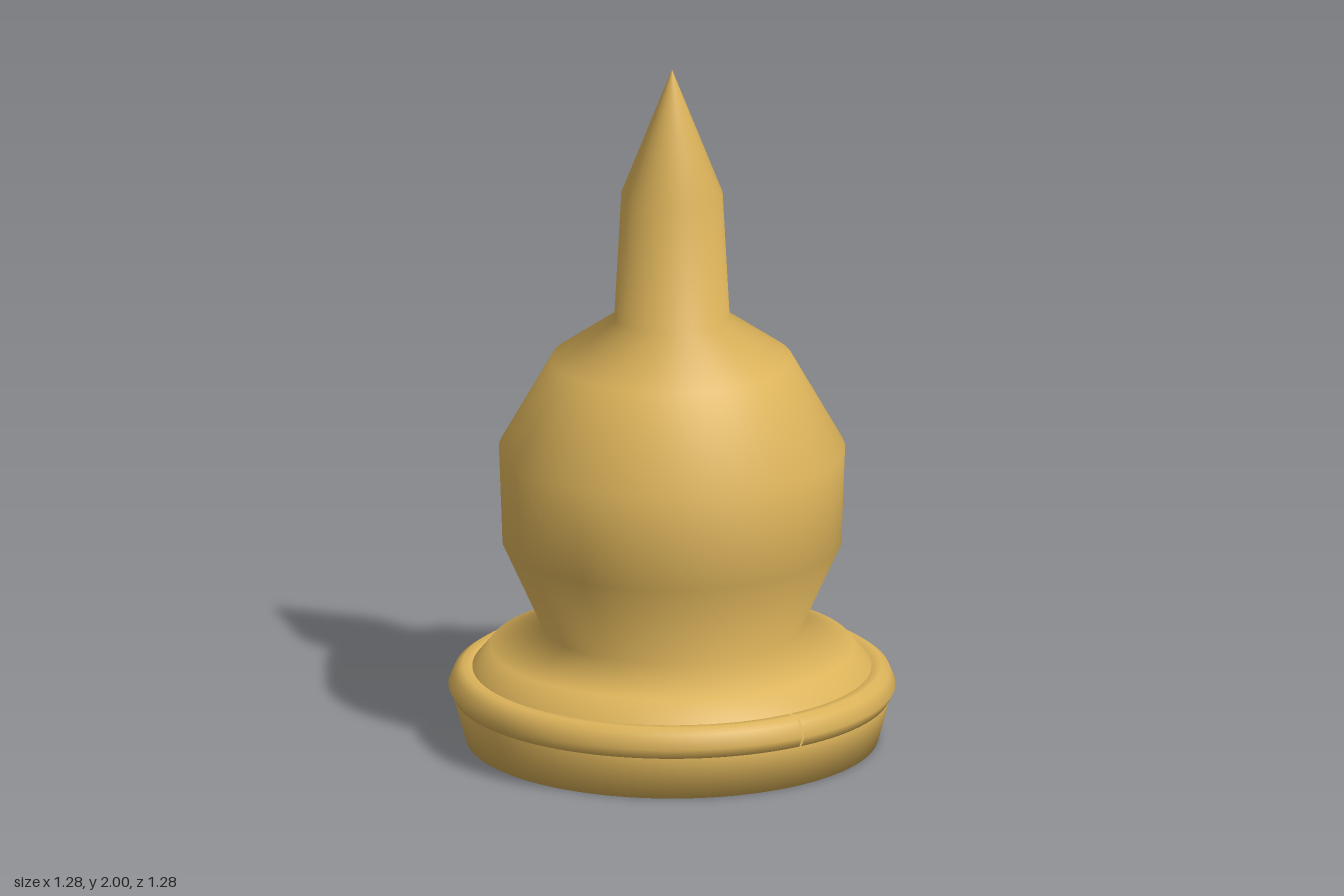
import * as THREE from 'three';

export function createModel() {
  const group = new THREE.Group();
  const gold = new THREE.MeshStandardMaterial({ color: 0xdcb35a });
  gold.name = 'gold';
  const goldOpen = gold;

  const lathe = (name, points, segments = 96, start = 0, length = Math.PI * 2) => {
    const profile = points.map(([r, y]) => new THREE.Vector2(r, y));
    const mesh = new THREE.Mesh(new THREE.LatheGeometry(profile, segments, start, length), goldOpen);
    mesh.name = name;
    group.add(mesh);
  };

  // Turned body: foot, shoulder, faceted bulb and pointed spire in one smooth profile
  lathe('body', [
    [0, 0], [0.59, 0], [0.625, 0.13], [0.57, 0.215], [0.52, 0.275], [0.37, 0.335],
    [0.485, 0.59], [0.495, 0.87], [0.345, 1.135], [0.165, 1.26], [0.145, 1.63], [0, 2],
  ]);

  // Rounded rim band, with a hairline joint on the +x side
  const gap = 0.012;
  lathe('rimBand', [
    [0.595, 0.128], [0.625, 0.13], [0.64, 0.16], [0.623, 0.2], [0.6, 0.216], [0.572, 0.214], [0.56, 0.2],
  ], 96, Math.PI / 2 + gap / 2, Math.PI * 2 - gap);

  return group;
}
